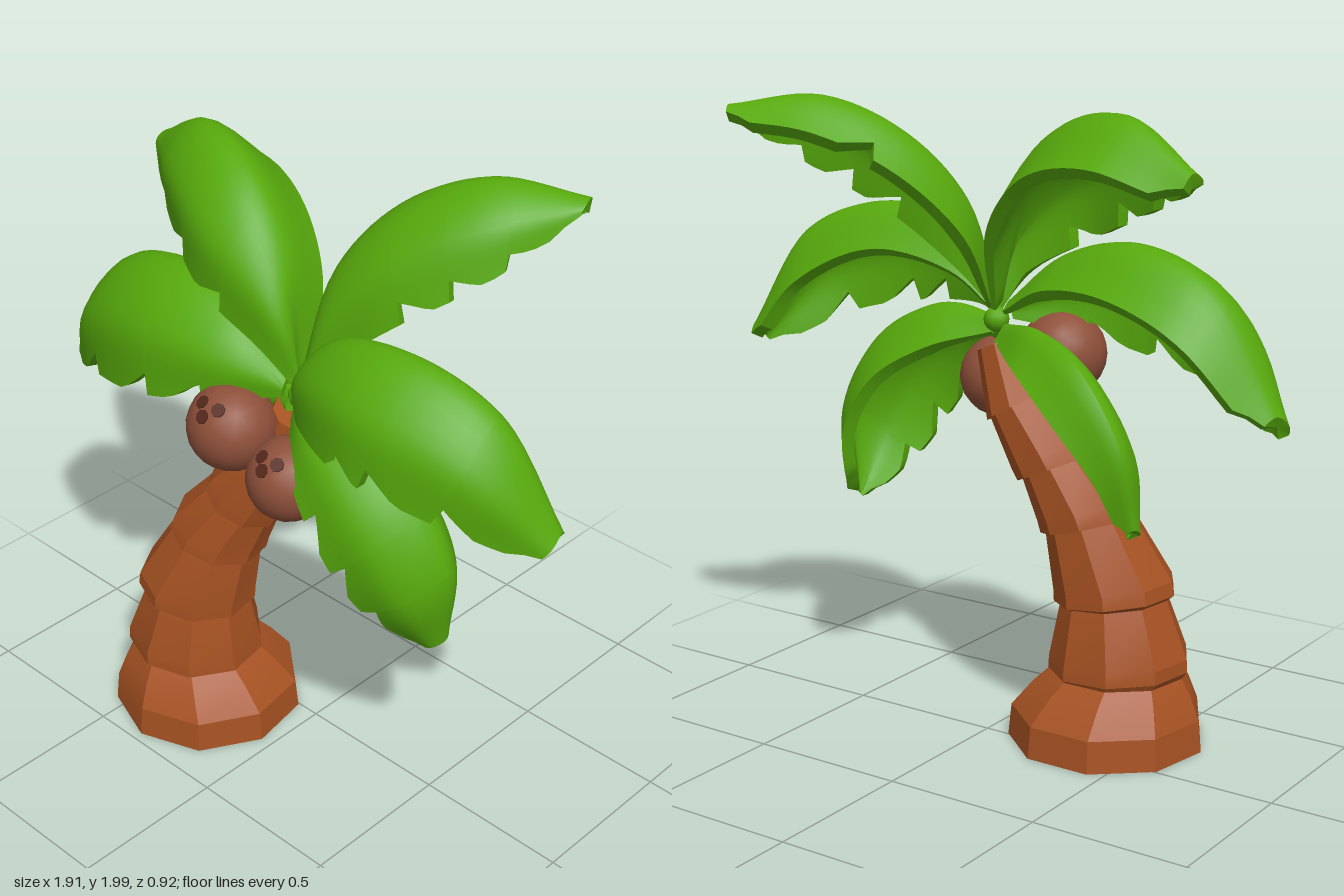
import * as THREE from 'three';
import { toCreasedNormals } from 'three/addons/utils/BufferGeometryUtils.js';

const V = (a) => new THREE.Vector3(...a);
const curve = (pts) => new THREE.CatmullRomCurve3(pts.map(V));
const mat = (name, color) => Object.assign(new THREE.MeshStandardMaterial({ color }), { name });

// Skin a list of closed rings, with a fan cap at each end
function loft(rings, crease) {
  const pos = [];
  const tri = (a, b, c) => pos.push(...a.toArray(), ...b.toArray(), ...c.toArray());
  const n = rings[0].length;
  for (let i = 0; i < rings.length - 1; i++) {
    for (let j = 0; j < n; j++) {
      const k = (j + 1) % n, a = rings[i], b = rings[i + 1];
      tri(a[j], b[j], a[k]);
      tri(b[j], b[k], a[k]);
    }
  }
  [rings[0], rings[rings.length - 1]].forEach((ring, end) => {
    const mid = ring.reduce((s, p) => s.add(p), new THREE.Vector3()).divideScalar(n);
    for (let j = 0; j < n; j++) {
      const p = ring[j], q = ring[(j + 1) % n];
      end ? tri(mid, q, p) : tri(mid, p, q);
    }
  });
  const g = new THREE.BufferGeometry();
  g.setAttribute('position', new THREE.Float32BufferAttribute(pos, 3));
  g.computeVertexNormals();
  return toCreasedNormals(g, crease);
}

// Thick blade arching from a back edge over a ridge and a full shoulder to a notched front edge
function frondGeometry({ back, ridge, front, notches, backNotches = [] }) {
  const bc = curve(back), rc = curve(ridge), fc = curve(front);
  const leftSide = front[4][0] > 0;
  const out = leftSide ? -1 : 1;
  const us = [];
  for (let i = 0; i <= 28; i++) us.push(i / 28);
  [...notches, ...backNotches].forEach((k) => us.push(k - 0.006, k + 0.001));
  us.sort((a, b) => a - b);
  const cut = (list, u) => list.reduce((m, k) => {
    const d = u - k;
    return d >= 0 && d < 0.1 ? Math.max(m, 0.11 * (1 - d / 0.1)) : m;
  }, 0);
  const across = 16;
  const rings = us.map((u) => {
    const b = bc.getPoint(u), r = rc.getPoint(u), f = fc.getPoint(u);
    const t = rc.getTangent(u);
    const span = f.clone().sub(r);
    const bulge = t.clone().cross(span).normalize().multiplyScalar(out * span.length() * 0.2);
    const shoulder = r.clone().addScaledVector(span, 0.52).add(bulge);
    const section = new THREE.CatmullRomCurve3([b, r, shoulder, f]);
    const e = Math.max(0, (u - 0.92) / 0.08);
    const round = 0.5 * (1 - Math.max(0.7, Math.sqrt(1 - e * e)));
    const cb = Math.max(round, cut(backNotches, u)), cf = Math.max(round, cut(notches, u));
    const thick = 0.015 + 0.025 * Math.min(1, u * 4);
    const top = [], under = [];
    for (let i = 0; i <= across; i++) {
      const w = i / across;
      const v = w - cf * w ** 5 + cb * (1 - w) ** 5;
      const p = section.getPoint(v);
      const nrm = t.clone().cross(section.getTangent(v)).normalize();
      top.push(p);
      under.unshift(p.clone().addScaledVector(nrm, -out * thick));
    }
    const ring = [...top, ...under];
    return leftSide ? ring.reverse() : ring;
  });
  return loft(rings, 0.6);
}

const FRONDS = {
  upperRightFrond: {
    back: [[0.02, 1.34, 0.05], [-0.04, 1.59, -0.07], [-0.22, 1.77, -0.16], [-0.47, 1.82, -0.22], [-0.75, 1.74, -0.2]],
    ridge: [[0.03, 1.36, 0.1], [-0.04, 1.69, 0.07], [-0.23, 1.9, 0.03], [-0.5, 1.96, -0.05], [-0.77, 1.82, -0.14]],
    front: [[0.04, 1.32, 0.12], [-0.05, 1.45, 0.18], [-0.28, 1.57, 0.2], [-0.52, 1.67, 0.09], [-0.77, 1.77, -0.08]],
    notches: [0.42, 0.62, 0.8],
  },
  middleRightFrond: {
    back: [[0, 1.33, 0.08], [-0.18, 1.42, 0.01], [-0.43, 1.43, -0.05], [-0.7, 1.33, -0.08], [-0.91, 1.08, -0.01]],
    ridge: [[0, 1.36, 0.12], [-0.18, 1.51, 0.14], [-0.45, 1.575, 0.11], [-0.74, 1.47, 0.08], [-0.945, 1.13, 0.06]],
    front: [[0, 1.3, 0.15], [-0.2, 1.26, 0.27], [-0.45, 1.2, 0.32], [-0.73, 1.14, 0.26], [-0.94, 1.04, 0.14]],
    notches: [0.27, 0.46, 0.7],
  },
  lowerRightFrond: {
    back: [[0.01, 1.24, 0.05], [-0.19, 1.2, -0.14], [-0.365, 1.09, -0.22], [-0.515, 0.92, -0.21], [-0.565, 0.76, -0.15]],
    ridge: [[0, 1.29, 0.1], [-0.2, 1.31, -0.03], [-0.42, 1.24, -0.14], [-0.58, 1.04, -0.18], [-0.605, 0.79, -0.14]],
    front: [[0, 1.22, 0.12], [-0.17, 1.13, 0.08], [-0.32, 1.0, 0.04], [-0.46, 0.88, 0], [-0.58, 0.75, -0.08]],
    notches: [0.36, 0.55, 0.75],
  },
  upperLeftFrond: {
    back: [[0.03, 1.34, 0.07], [0.01, 1.58, -0.11], [0.13, 1.77, -0.27], [0.34, 1.89, -0.4], [0.61, 1.92, -0.47]],
    ridge: [[0.03, 1.36, 0.1], [0.05, 1.68, -0.03], [0.18, 1.88, -0.16], [0.4, 1.99, -0.28], [0.64, 1.96, -0.42]],
    front: [[0.05, 1.33, 0.1], [0.16, 1.46, 0.07], [0.34, 1.62, 0.01], [0.51, 1.75, -0.12], [0.65, 1.91, -0.35]],
    notches: [0.5, 0.66, 0.82],
    backNotches: [0.58],
  },
  middleLeftFrond: {
    back: [[0.04, 1.33, 0.09], [0.18, 1.44, 0.06], [0.46, 1.49, 0.02], [0.74, 1.36, -0.03], [0.91, 1.15, -0.05]],
    ridge: [[0.04, 1.36, 0.11], [0.19, 1.56, 0.13], [0.47, 1.63, 0.13], [0.75, 1.53, 0.08], [0.94, 1.2, 0.01]],
    front: [[0.05, 1.3, 0.14], [0.16, 1.32, 0.25], [0.42, 1.3, 0.34], [0.69, 1.25, 0.28], [0.92, 1.13, 0.1]],
    notches: [0.44, 0.56, 0.76],
  },
  lowerLeftFrond: {
    back: [[0.05, 1.26, 0.09], [0.25, 1.2, 0.02], [0.44, 1.08, -0.02], [0.55, 0.9, -0.02], [0.57, 0.69, 0.02]],
    ridge: [[0.06, 1.31, 0.12], [0.28, 1.32, 0.13], [0.5, 1.2, 0.12], [0.63, 0.96, 0.1], [0.6, 0.68, 0.07]],
    front: [[0.05, 1.25, 0.16], [0.16, 1.16, 0.28], [0.32, 0.98, 0.32], [0.43, 0.8, 0.26], [0.54, 0.65, 0.12]],
    notches: [0.4, 0.58, 0.76],
  },
};

// Trunk rings: x, y, z, radius, lean; each segment flares over the one below
const TRUNK = [
  [-0.345, 0, 0.16, 0.31, 0], [-0.345, 0.1, 0.16, 0.3, 0], [-0.36, 0.18, 0.17, 0.25, 0],
  [-0.372, 0.225, 0.175, 0.21, 0],
  [-0.375, 0.235, 0.18, 0.222, 0.05], [-0.375, 0.275, 0.18, 0.22, 0.06], [-0.355, 0.45, 0.18, 0.17, 0.1],
  [-0.355, 0.46, 0.183, 0.192, 0.13], [-0.35, 0.5, 0.183, 0.19, 0.15], [-0.277, 0.7, 0.155, 0.142, 0.25],
  [-0.278, 0.69, 0.155, 0.158, 0.27], [-0.265, 0.73, 0.15, 0.155, 0.3], [-0.17, 0.88, 0.125, 0.117, 0.42],
  [-0.178, 0.86, 0.125, 0.134, 0.42], [-0.155, 0.9, 0.12, 0.132, 0.45], [-0.05, 1.05, 0.095, 0.097, 0.5],
  [-0.055, 1.04, 0.095, 0.11, 0.5], [0.015, 1.23, 0.095, 0.077, 0.4],
];

export function createModel() {
  const group = new THREE.Group();
  const leaf = mat('leafGreen', 0x57a90c);
  const bark = mat('barkBrown', 0xa65222);
  const shell = mat('coconutBrown', 0x8e503a);
  const dark = mat('darkBrown', 0x55291d);
  const add = (name, geo, material, parent = group) => {
    const m = new THREE.Mesh(geo, material);
    m.name = name;
    parent.add(m);
    return m;
  };

  // Faceted leaning trunk
  const rings = TRUNK.map(([x, y, z, r, lean]) => Array.from({ length: 9 }, (_, i) => {
    const a = Math.PI / 2 + i * Math.PI * 2 / 9;
    const c = r * Math.cos(a);
    return new THREE.Vector3(x + c * Math.cos(lean), y - c * Math.sin(lean), z + r * Math.sin(a));
  }));
  add('trunk', loft(rings, 0.3), bark);

  // Crown
  for (const [name, spec] of Object.entries(FRONDS)) add(name, frondGeometry(spec), leaf);
  add('crownBud', new THREE.SphereGeometry(0.04, 10, 8), leaf).position.set(0.035, 1.3, 0.1);

  // Coconuts, each with three dark eyes
  [[-0.12, 1.19, 0.237, 0.138], [0.1, 1.095, 0.22, 0.13]].forEach(([x, y, z, r], i) => {
    const nut = new THREE.Group();
    nut.name = i ? 'leftCoconut' : 'rightCoconut';
    nut.position.set(x, y, z);
    add('shell', new THREE.IcosahedronGeometry(r, 3), shell, nut);
    [[-0.25, 0.76, 0.62], [0.24, 0.76, 0.62], [-0.04, 0.56, 0.82]].forEach((d) => {
      const dir = V(d).normalize();
      const eye = add('eye', new THREE.CylinderGeometry(0.022, 0.022, 0.008, 8), dark, nut);
      eye.position.copy(dir).multiplyScalar(r - 0.002);
      eye.quaternion.setFromUnitVectors(new THREE.Vector3(0, 1, 0), dir);
    });
    group.add(nut);
  });
  return group;
}
